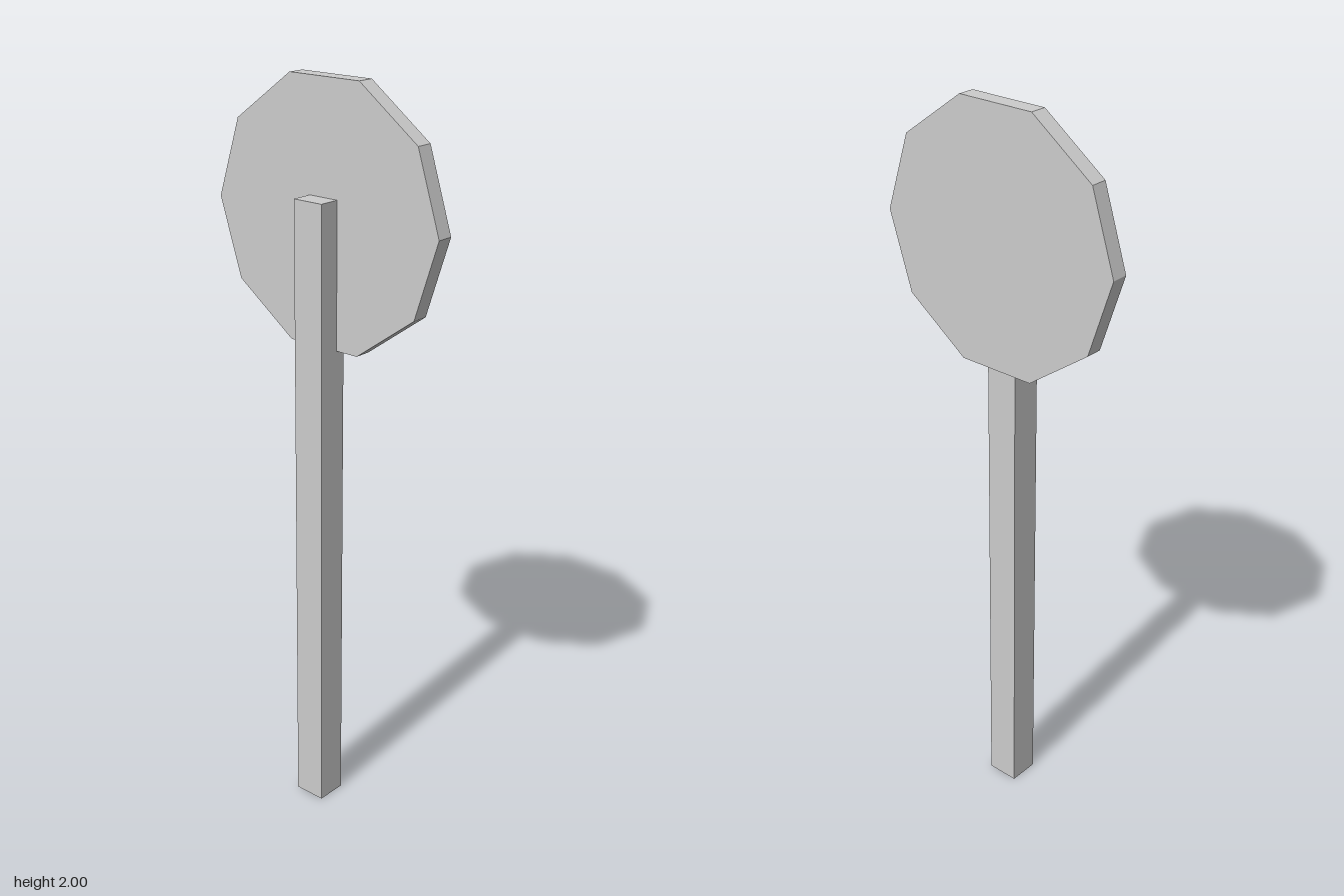
import * as THREE from 'three';

export function createModel() {
  const group = new THREE.Group();
  const material = new THREE.MeshStandardMaterial({ color: 0xcccccc, flatShading: true });

  // Square post standing on the ground
  const postHeight = 1.71;
  const post = new THREE.Mesh(new THREE.BoxGeometry(0.085, postHeight, 0.089), material);
  post.name = 'post';
  post.position.set(-0.0095, postHeight / 2, -0.001);
  group.add(post);

  // Ten-sided sign plate facing +x, let into the side of the post
  const radius = 0.355;
  const plateGeometry = new THREE.CylinderGeometry(radius, radius, 0.046, 10);
  plateGeometry.rotateZ(-Math.PI / 2);
  const plate = new THREE.Mesh(plateGeometry, material);
  plate.name = 'signPlate';
  plate.position.set(0.029, 2 - radius * Math.sin(Math.PI * 0.4), 0);
  group.add(plate);

  return group;
}
